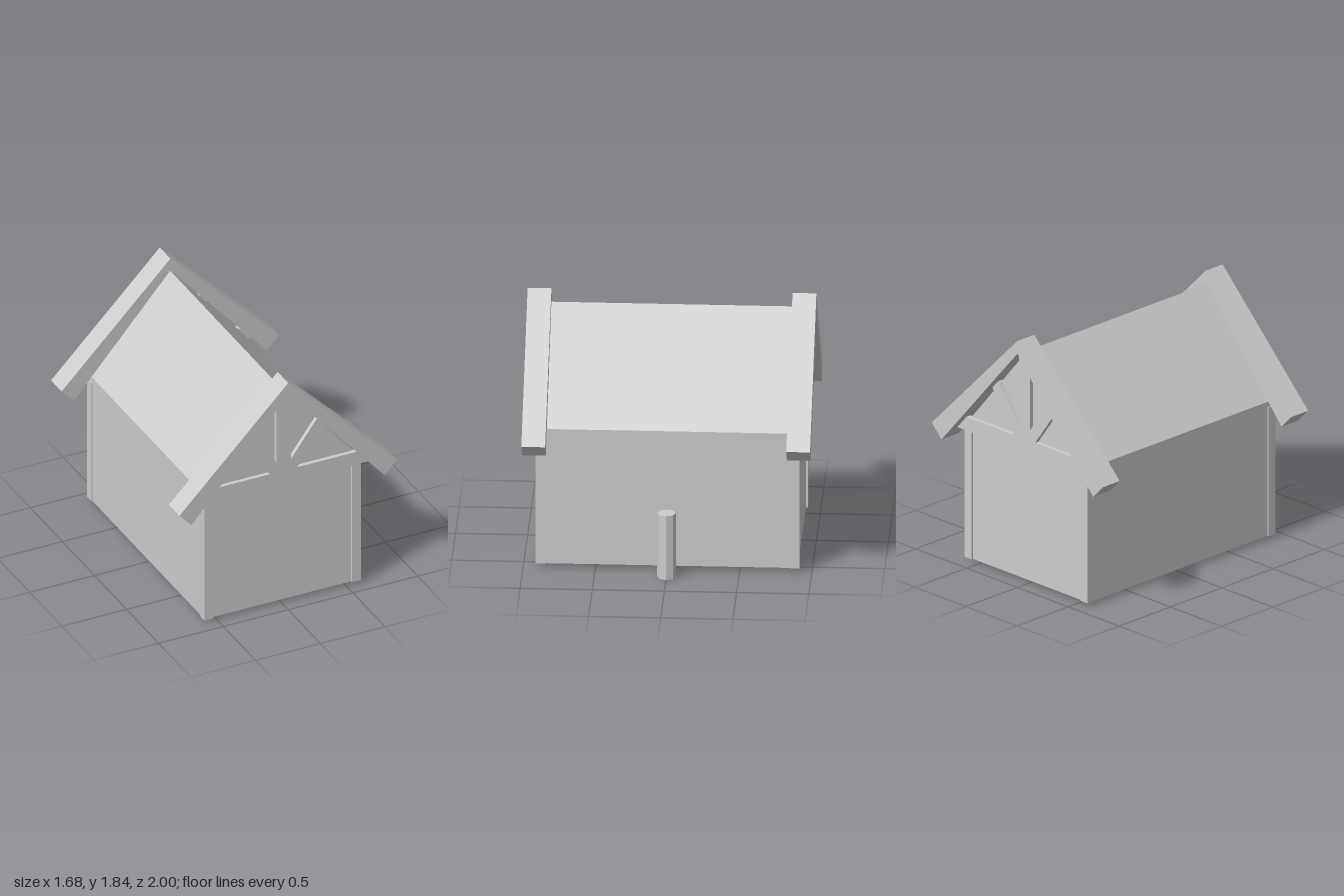
import * as THREE from 'three';

export function createModel() {
  const model = new THREE.Group();
  model.name = 'gabledHut';
  const grey = new THREE.MeshStandardMaterial({ color: 0xcccccc });
  grey.name = 'plainGrey';

  const add = (name, geometry, parent = model) => {
    const mesh = new THREE.Mesh(geometry, grey);
    mesh.name = name;
    parent.add(mesh);
    return mesh;
  };
  // Outline in x/y, extruded from z0 to z1
  const slab = (points, z0, z1) => {
    const shape = new THREE.Shape(points.map(([x, y]) => new THREE.Vector2(x, y)));
    return new THREE.ExtrudeGeometry(shape, { depth: z1 - z0, bevelEnabled: false }).translate(0, 0, z0);
  };
  const mirrorX = (points) => points.map(([x, y]) => [-x, y]).reverse();

  // Walls and plain roof as one house-shaped prism
  add('houseBody', slab([[-0.597, 0.03], [0.597, 0.03], [0.597, 1.03], [0, 1.74], [-0.597, 1.03]], -0.9, 0.9));

  // Corner posts
  for (const x of [-0.57, 0.57]) {
    for (const z of [-0.88, 0.88]) {
      add('cornerPost', new THREE.BoxGeometry(0.07, 0.96, 0.07).translate(x, 0.51, z));
    }
  }

  // The same timber gable at the front and back
  const chevron = [[0, 1.84], [-0.84, 0.99], [-0.745, 0.89], [0, 1.745], [0.745, 0.89], [0.84, 0.99]];
  const strut = [[0.03, 1.135], [0.055, 1.09], [0.105, 1.09], [0.315, 1.382], [0.26, 1.447], [0.055, 1.17]];
  for (const side of [1, -1]) {
    const gable = new THREE.Group();
    gable.name = side > 0 ? 'frontGable' : 'backGable';
    gable.rotation.y = side > 0 ? 0 : Math.PI;
    model.add(gable);
    add('bargeBoards', slab(chevron, 0.835, 1), gable);
    add('tieBeam', slab([[-0.66, 0.987], [0.66, 0.987], [0.57, 1.09], [-0.57, 1.09]], 0.89, 0.93), gable);
    add('kingPost', slab([[-0.055, 1.09], [0.055, 1.09], [0.055, 1.682], [0, 1.745], [-0.055, 1.682]], 0.89, 0.93), gable);
    add('leftStrut', slab(strut, 0.89, 0.93), gable);
    add('rightStrut', slab(mirrorX(strut), 0.89, 0.93), gable);
  }

  // Free-standing eight-sided post beside the house
  const peg = new THREE.CylinderGeometry(0.065, 0.065, 0.475, 8).toNonIndexed();
  peg.computeVertexNormals();
  add('standingPost', peg.translate(0.73, 0.2375, 0));

  return model;
}
